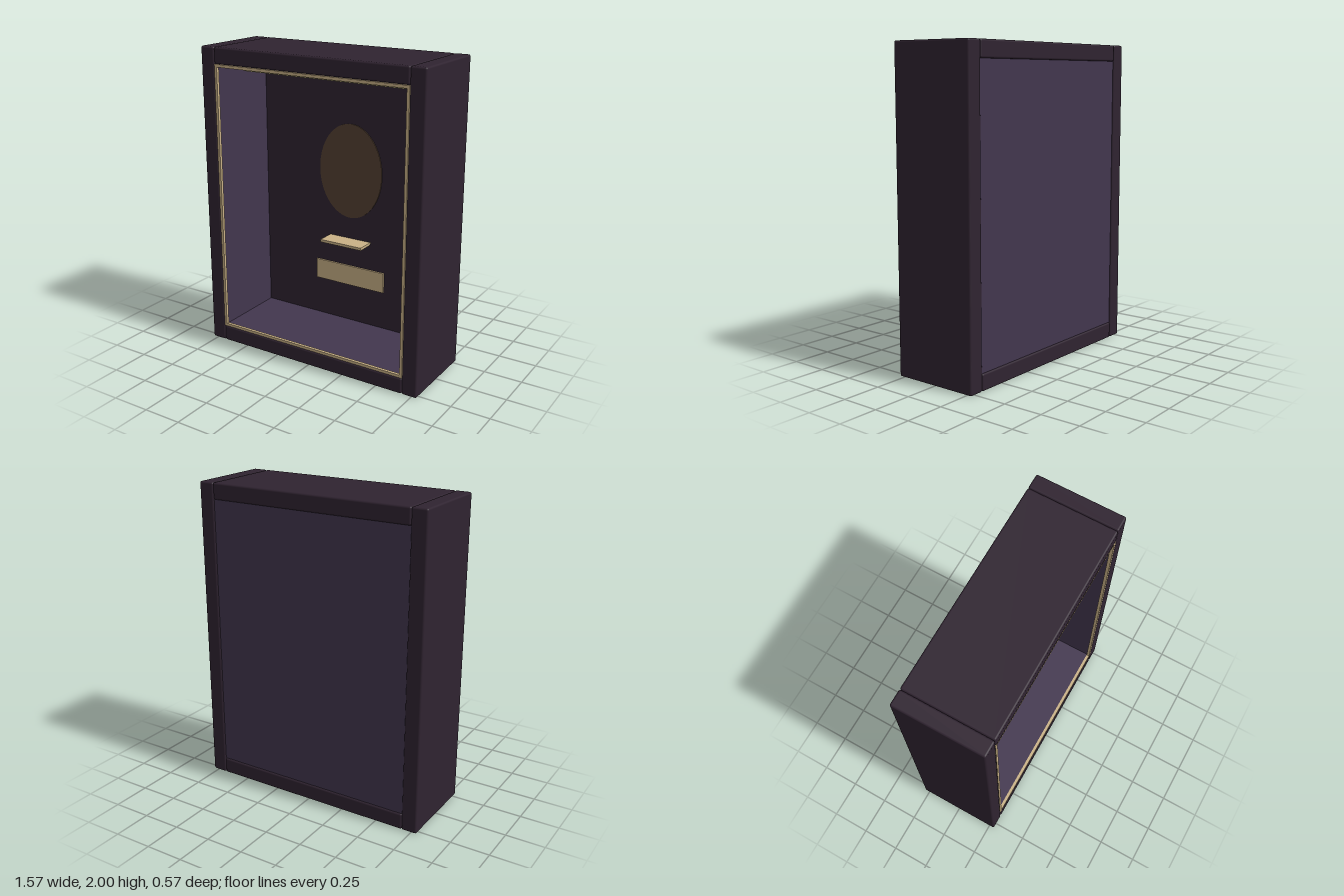
import * as THREE from 'three';
import { RoundedBoxGeometry } from 'three/addons/geometries/RoundedBoxGeometry.js';

const mat = (name, color) => {
  const m = new THREE.MeshStandardMaterial({ color });
  m.name = name;
  return m;
};

export function createModel() {
  const group = new THREE.Group();
  const wood = mat('dark plum wood', 0x2f2330);
  const lining = mat('violet lining', 0x42364e);
  const gold = mat('pale gold', 0xc9b186);
  const bronze = mat('dim bronze', 0x554132);
  const glow = mat('warm light', 0xd6c88c);

  const add = (name, geometry, material, x, y, z) => {
    const mesh = new THREE.Mesh(geometry, material);
    mesh.name = name;
    mesh.position.set(x, y, z);
    group.add(mesh);
    return mesh;
  };
  const box = (name, w, h, d, material, x, y, z) =>
    add(name, new THREE.BoxGeometry(w, h, d), material, x, y, z);
  const bar = (name, w, h, d, x, y, z) =>
    add(name, new RoundedBoxGeometry(w, h, d, 3, 0.012), wood, x, y, z);

  // Outer case: two full-height sides with the top and bottom between them
  for (const s of [-1, 1]) {
    const side = s > 0 ? 'left' : 'right';
    const end = s > 0 ? 'top' : 'bottom';
    bar(`${side}Side`, 0.102, 2, 0.57, s * 0.735, 1, 0);
    bar(`${end}Board`, 1.367, 0.105, 0.57, 0, 1 + s * 0.9475, 0);

    // Lining of the inner walls, floor and ceiling
    box(`${side}Lining`, 0.012, 1.78, 0.51, lining, s * 0.679, 1, 0.015);
    box(`${end}Lining`, 1.36, 0.012, 0.51, lining, 0, 1 + s * 0.888, 0.015);

    // Gold trim around the front opening
    box(`${side}Trim`, 0.018, 1.785, 0.02, gold, s * 0.675, 1, 0.273);
    box(`${end}Trim`, 1.368, 0.018, 0.02, gold, 0, 1 + s * 0.884, 0.273);
  }

  // Back panel, with a dark board facing the inside
  box('backPanel', 1.368, 1.79, 0.03, lining, 0, 1, -0.26);
  box('backBoard', 1.35, 1.77, 0.01, wood, 0, 1, -0.24);

  // Oval medallion, small shelf and name plate on the back board
  const oval = add('ovalMedallion', new THREE.CylinderGeometry(1, 1, 1, 64), bronze, 0, 1.18, -0.232);
  oval.rotation.x = Math.PI / 2;
  oval.scale.set(0.235, 0.006, 0.318);
  box('shelf', 0.312, 0.018, 0.125, gold, 0, 0.707, -0.17);
  box('plaque', 0.526, 0.138, 0.012, gold, 0, 0.45, -0.229);

  // Slim light strip under the ceiling
  box('lightStrip', 1.17, 0.01, 0.02, glow, 0, 1.84, 0.1);

  return group;
}
